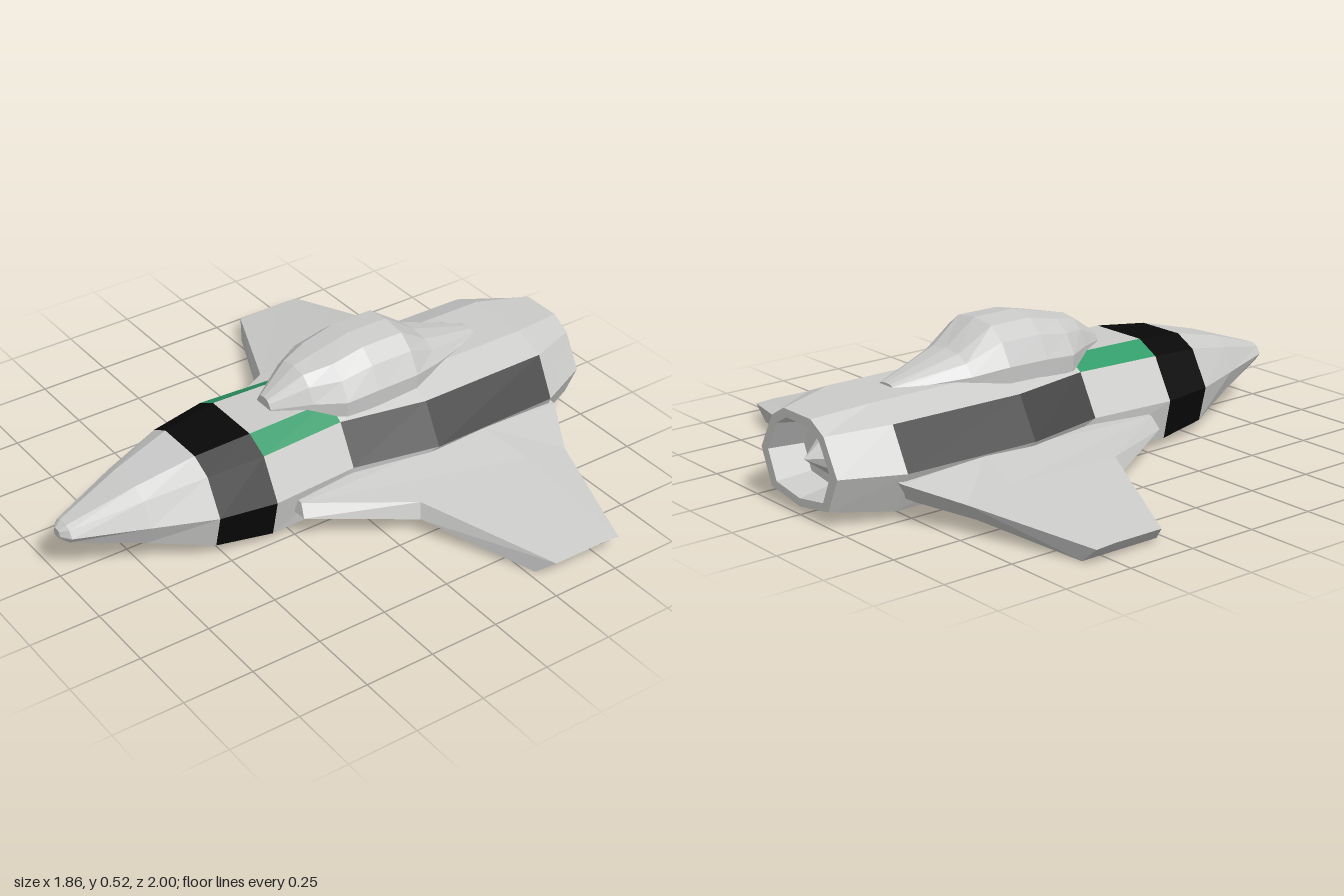
import * as THREE from 'three';

const paint = (name, color) => {
  const m = new THREE.MeshStandardMaterial({ color });
  m.name = name;
  m.flatShading = true;
  return m;
};

// Faceted skin through matching cross-sections; pick(i, j) chooses the material slot of each panel.
function loft(rings, { pick = () => 0, slots = 1, flip = false, capStart = true, capEnd = true } = {}) {
  const faces = Array.from({ length: slots }, () => []);
  const tri = (slot, a, b, c) => faces[slot].push(...a, ...(flip ? c : b), ...(flip ? b : c));
  const n = rings[0].length;
  for (let i = 0; i < rings.length - 1; i++) {
    for (let j = 0; j < n; j++) {
      const k = (j + 1) % n, s = pick(i, j);
      const a = rings[i][j], b = rings[i][k], c = rings[i + 1][k], d = rings[i + 1][j];
      tri(s, a, d, c);
      tri(s, a, c, b);
    }
  }
  const cap = (ring, reverse) => {
    const mid = [0, 1, 2].map(q => ring.reduce((t, p) => t + p[q], 0) / n);
    ring.forEach((p, j) => {
      const next = ring[(j + 1) % n];
      reverse ? tri(0, mid, next, p) : tri(0, mid, p, next);
    });
  };
  if (capStart) cap(rings[0], false);
  if (capEnd) cap(rings[rings.length - 1], true);

  const geo = new THREE.BufferGeometry();
  geo.setAttribute('position', new THREE.Float32BufferAttribute(faces.flat(), 3));
  let start = 0;
  faces.forEach((f, s) => {
    geo.addGroup(start, f.length / 3, s);
    start += f.length / 3;
  });
  geo.computeVertexNormals();
  return geo;
}

// Half outline (bottom to top, right-hand side) mirrored into a closed ring at z.
function mirrorRing(z, half) {
  const right = half.map(([x, y]) => [x, y, z]);
  const left = half.filter(p => p[0] > 0).reverse().map(([x, y]) => [-x, y, z]);
  return [...right, ...left];
}

export function createModel() {
  const group = new THREE.Group();
  const hull = paint('hullGrey', 0xcbcbca);
  const black = paint('bandBlack', 0x080808);
  const dark = paint('panelCharcoal', 0x454545);
  const green = paint('stripeGreen', 0x2f9a68);
  const add = (name, geo, mat, parent = group) => {
    const mesh = new THREE.Mesh(geo, mat);
    mesh.name = name;
    parent.add(mesh);
    return mesh;
  };

  // Fuselage: z, keel y, chine x/y, waist x, shoulder x/y, top x/y
  const stations = [
    [1.0, 0.168, 0.015, 0.17, 0.02, 0.015, 0.195, 0.008, 0.198],
    [0.975, 0.15, 0.035, 0.155, 0.055, 0.04, 0.205, 0.02, 0.215],
    [0.74, 0.08, 0.115, 0.1, 0.15, 0.11, 0.262, 0.06, 0.293],
    [0.53, 0.032, 0.205, 0.055, 0.235, 0.165, 0.305, 0.09, 0.345],
    [0.33, 0.012, 0.24, 0.04, 0.27, 0.192, 0.322, 0.11, 0.366],
    [0.01, 0.012, 0.23, 0.04, 0.25, 0.173, 0.322, 0.1, 0.366],
    [-0.3, 0.012, 0.24, 0.04, 0.315, 0.235, 0.322, 0.12, 0.368],
    [-0.8, 0.012, 0.24, 0.04, 0.305, 0.23, 0.322, 0.12, 0.366],
    [-1.0, 0.035, 0.16, 0.06, 0.213, 0.145, 0.302, 0.075, 0.342],
  ];
  const body = stations.map(([z, k, cx, cy, w, sx, sy, tx, ty]) =>
    mirrorRing(z, [[0, k], [cx, cy], [w, 0.18], [sx, sy], [tx, ty]]));
  const pick = (i, j) => {
    if (i === 3) return 1;
    if (i === 4 && (j === 3 || j === 5)) return 3;
    if ((i === 5 || i === 6) && (j === 2 || j === 6)) return 2;
    return 0;
  };
  add('fuselage', loft(body, { pick, slots: 4, capEnd: false }), [hull, black, dark, green]);

  // Hollow exhaust with a central spike
  const tail = body[body.length - 1];
  const inset = (s, z) => tail.map(([x, y]) => [x * s, 0.187 + (y - 0.187) * s, z]);
  add('exhaust', loft([tail, inset(0.82, -1), inset(0.7, -0.88)], { capStart: false }), hull);
  const spike = new THREE.ConeGeometry(0.075, 0.1, 8);
  spike.rotateX(-Math.PI / 2);
  spike.translate(0, 0.187, -0.93);
  add('exhaustSpike', spike, hull);

  // Canopy: z, half width, base y, top y
  const canopy = [
    [0.2, 0.04, 0.355, 0.4],
    [0.08, 0.115, 0.34, 0.48],
    [-0.02, 0.175, 0.33, 0.503],
    [-0.14, 0.183, 0.33, 0.531],
    [-0.3, 0.185, 0.335, 0.531],
    [-0.42, 0.14, 0.345, 0.447],
    [-0.66, 0.045, 0.35, 0.375],
  ].map(([z, w, b, t]) => {
    const h = t - b;
    return mirrorRing(z, [[0, b], [w * 0.97, b], [w, b + h * 0.33], [w * 0.78, b + h * 0.71],
      [w * 0.48, b + h * 0.94], [0, t]]);
  });
  add('canopy', loft(canopy), hull);

  // Wings: each section runs lower lead, upper lead, upper ridge, trailing edge, lower rear (z, y)
  const sections = [
    [[0.18, 0.25, 0.1], [0.18, 0.24, 0.155], [0.18, -0.5, 0.19], [0.18, -0.84, 0.16], [0.18, -0.8, 0.09]],
    [[0.305, 0.25, 0.105], [0.275, 0.24, 0.147], [0.305, -0.5, 0.175], [0.305, -0.82, 0.15], [0.3, -0.77, 0.08]],
    [[0.49, -0.09, 0.07], [0.475, -0.1, 0.128], [0.49, -0.54, 0.138], [0.49, -0.712, 0.11], [0.48, -0.67, 0.05]],
    [[0.865, -0.275, 0.008], [0.925, -0.31, 0.064], [0.928, -0.5, 0.066], [0.928, -0.572, 0.062], [0.865, -0.575, 0.008]],
  ];
  for (const [side, s] of [['left', 1], ['right', -1]]) {
    const rings = sections.map(ring => ring.map(([x, z, y]) => [s * x, y, z]));
    add(side + 'Wing', loft(rings, { flip: s < 0 }), hull);
  }
  return group;
}
